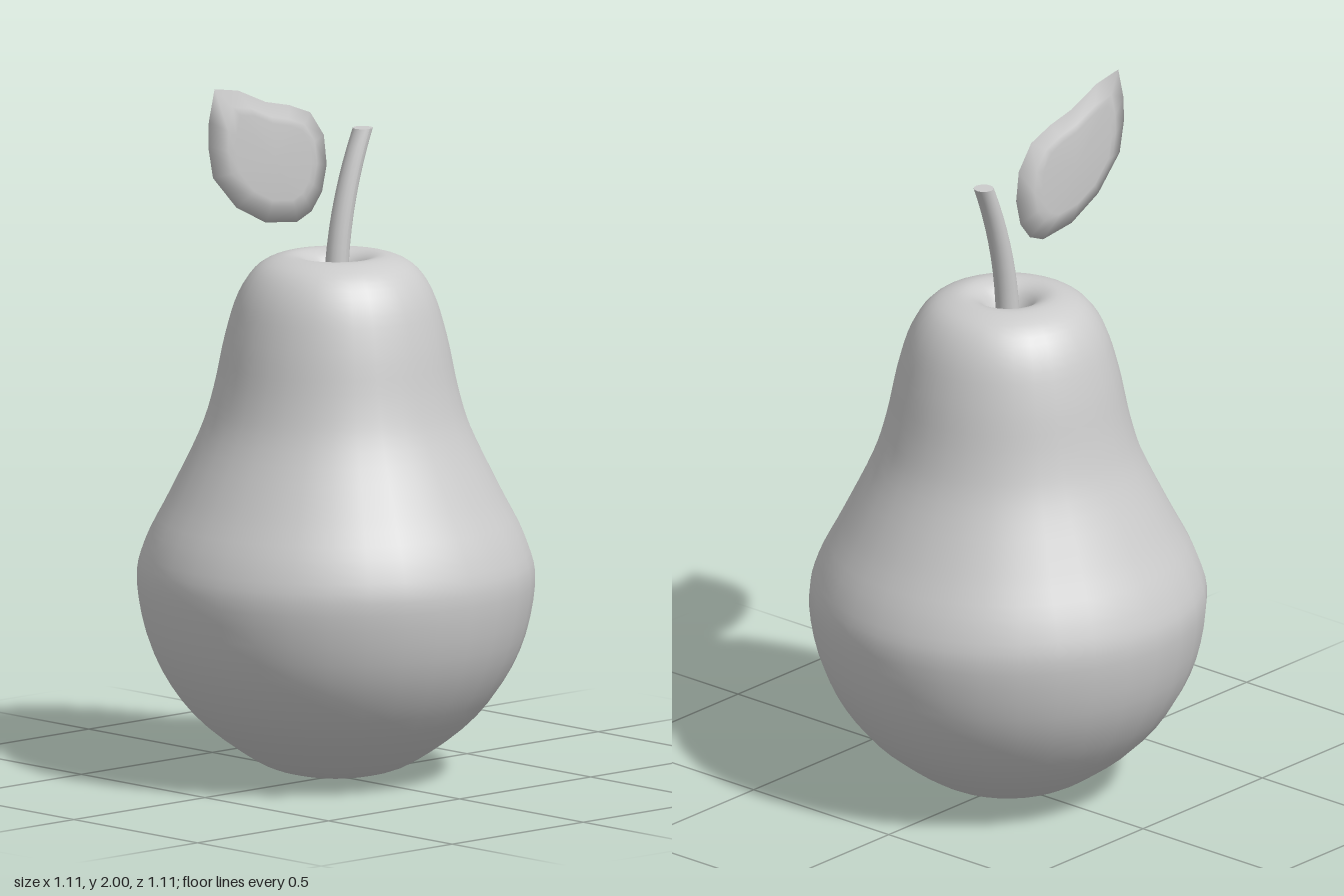
import * as THREE from 'three';
import { mergeVertices } from 'three/addons/utils/BufferGeometryUtils.js';

const vecs = (pairs) => pairs.map(([x, y]) => new THREE.Vector2(x, y));

export function createModel() {
  const model = new THREE.Group();
  const material = new THREE.MeshStandardMaterial({ color: 0xcccccc });
  const add = (name, geometry) => {
    const mesh = new THREE.Mesh(geometry, material);
    mesh.name = name;
    model.add(mesh);
    return mesh;
  };

  // Body: smooth lathe with a dimple around the stem
  const profile = new THREE.SplineCurve(vecs([
    [0, 0.005], [0.11, 0.016], [0.23, 0.058], [0.4, 0.19], [0.51, 0.36], [0.553, 0.55],
    [0.53, 0.67], [0.46, 0.81], [0.378, 0.98], [0.34, 1.1], [0.308, 1.25], [0.27, 1.37],
    [0.215, 1.445], [0.14, 1.475], [0.085, 1.46], [0.05, 1.415], [0.025, 1.375], [0, 1.365],
  ])).getPoints(68);
  profile[0].x = profile[profile.length - 1].x = 0;
  add('body', new THREE.LatheGeometry(profile, 32));

  // Stem: upright cylinder whose rings slide sideways along a curve
  const base = 1.36, top = 1.82;
  const stem = new THREE.CylinderGeometry(0.028, 0.034, top - base, 16, 10);
  stem.translate(0, (base + top) / 2, 0);
  const p = stem.attributes.position;
  for (let i = 0; i < p.count; i++) {
    const t = (p.getY(i) - base) / (top - base);
    p.setX(i, p.getX(i) + 0.102 * t * t);
  }
  stem.computeVertexNormals();
  add('stem', stem);

  // Leaf: outline rings swelling from a thin edge to flat faces
  const outline = vecs([
    [-0.47, 2], [-0.38, 1.985], [-0.275, 1.94], [-0.185, 1.92], [-0.105, 1.89],
    [-0.053, 1.82], [-0.042, 1.735], [-0.06, 1.66], [-0.1, 1.61], [-0.155, 1.587],
    [-0.275, 1.6], [-0.386, 1.655], [-0.476, 1.75], [-0.494, 1.84], [-0.492, 1.91],
  ]);
  const center = new THREE.Vector2(-0.265, 1.78);
  const rings = [[0, 0.026], [0.64, 0.026], [0.75, 0.02], [1, 0], [0.75, -0.02], [0.64, -0.026], [0, -0.026]];
  const n = outline.length, positions = [], index = [];
  rings.forEach(([scale, z], r) => {
    outline.forEach((point, i) => {
      const q = center.clone().lerp(point, scale);
      positions.push(q.x, q.y, z + 0.007);
      if (r === rings.length - 1) return;
      const a = r * n + i, b = r * n + (i + 1) % n;
      if (r < rings.length - 2) index.push(a, b + n, a + n);
      if (r > 0) index.push(a, b, b + n);
    });
  });
  // The outline runs clockwise, so the front face needs this winding
  let leaf = new THREE.BufferGeometry();
  leaf.setAttribute('position', new THREE.Float32BufferAttribute(positions, 3));
  leaf.setIndex(index);
  leaf = mergeVertices(leaf);
  leaf.computeVertexNormals();
  add('leaf', leaf);

  return model;
}
